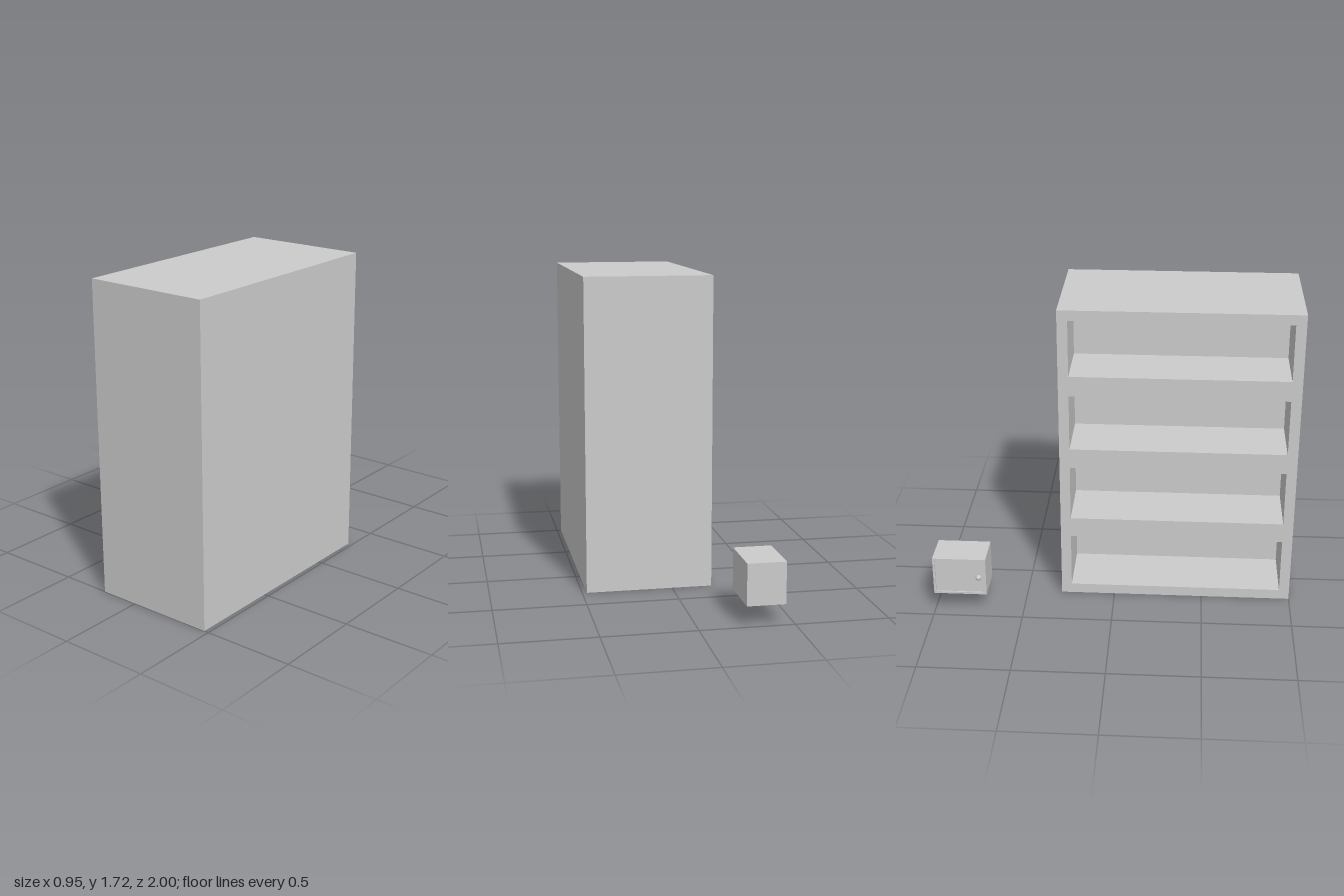
import * as THREE from 'three';

const material = new THREE.MeshStandardMaterial({ color: 0xcccccc, flatShading: true });
const smooth = new THREE.MeshStandardMaterial({ color: 0xcccccc });

function add(parent, name, geometry, x, y, z, mat = material) {
  const mesh = new THREE.Mesh(geometry, mat);
  mesh.name = name;
  mesh.position.set(x, y, z);
  parent.add(mesh);
  return mesh;
}

function rectangle(PathType, x0, y0, x1, y1) {
  return new PathType([[x0, y0], [x1, y0], [x1, y1], [x0, y1]].map(([x, y]) => new THREE.Vector2(x, y)));
}

// Closed block whose -x face holds a column of recesses, one per cell
function recessedBlock(parent, name, size, recess, margin, cells) {
  const { x0, x1, y0, y1, z0, z1 } = size;
  const face = rectangle(THREE.Shape, z0, y0, z1, y1);
  const cell = (y1 - y0) / cells;
  for (let i = 0; i < cells; i++) {
    const base = y0 + i * cell;
    face.holes.push(rectangle(THREE.Path, z0 + margin, base + margin, z1 - margin, base + cell - margin));
  }
  const frame = new THREE.ExtrudeGeometry(face, { depth: recess, bevelEnabled: false });
  frame.rotateY(-Math.PI / 2); // shape x becomes z, depth runs towards -x
  add(parent, name + 'Frame', frame, x0 + recess, 0, 0);
  add(parent, name + 'Back', new THREE.BoxGeometry(x1 - x0 - recess, y1 - y0, z1 - z0),
    (x0 + recess + x1) / 2, (y0 + y1) / 2, (z0 + z1) / 2);
}

export function createModel() {
  const model = new THREE.Group();
  model.name = 'shelfAndCabinet';

  // Tall shelf unit with four open compartments
  const shelf = new THREE.Group();
  shelf.name = 'shelfUnit';
  recessedBlock(shelf, 'shelf', { x0: -0.222, x1: 0.475, y0: 0, y1: 1.72, z0: -0.303, z1: 1 }, 0.34, 0.057, 4);
  model.add(shelf);

  // Small wall cabinet with a slightly inset door and a round knob
  const cabinet = new THREE.Group();
  cabinet.name = 'smallCabinet';
  recessedBlock(cabinet, 'cabinet', { x0: -0.45, x1: -0.245, y0: 0.11, y1: 0.333, z0: -1, z1: -0.703 }, 0.008, 0.012, 1);
  add(cabinet, 'knob', new THREE.SphereGeometry(0.0155, 24, 16), -0.4595, 0.225, -0.743, smooth);
  const stem = new THREE.CylinderGeometry(0.006, 0.006, 0.02, 12).rotateZ(Math.PI / 2);
  add(cabinet, 'knobStem', stem, -0.448, 0.225, -0.743, smooth);
  model.add(cabinet);

  return model;
}
